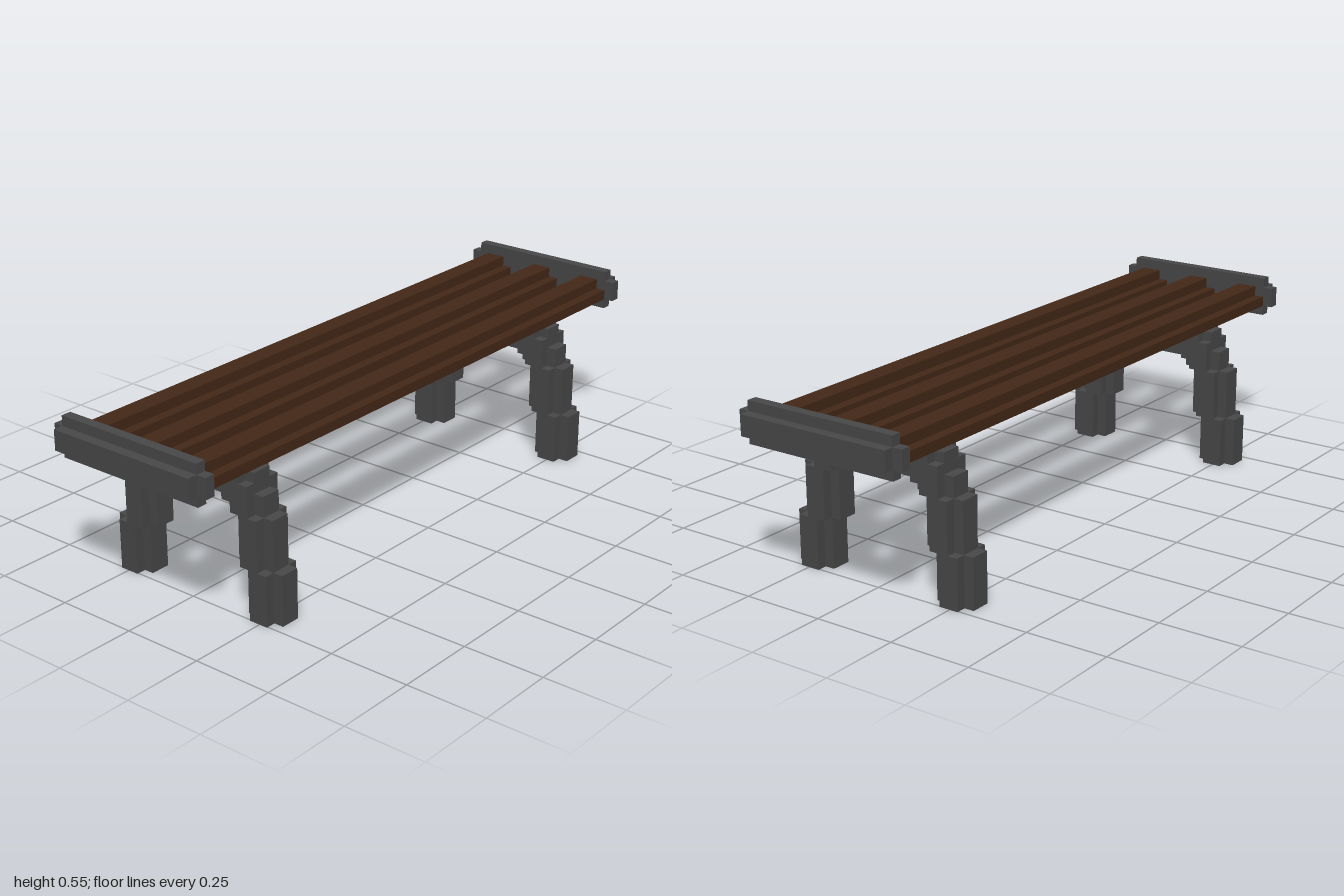
import * as THREE from 'three';

const U = 2 / 65; // one block of the stepped, blocky style
const iron = new THREE.MeshStandardMaterial({ color: 0x484848, flatShading: true });
const wood = new THREE.MeshStandardMaterial({ color: 0x432817, flatShading: true });
const paleWood = new THREE.MeshStandardMaterial({ color: 0x6b5440, flatShading: true });

// Box from min/max limits in block units
function block(parent, name, material, [x0, x1], [y0, y1], [z0, z1]) {
  const mesh = new THREE.Mesh(
    new THREE.BoxGeometry((x1 - x0) * U, (y1 - y0) * U, (z1 - z0) * U), material);
  mesh.position.set((x0 + x1) * U / 2, (y0 + y1) * U / 2, (z0 + z1) * U / 2);
  mesh.name = name;
  parent.add(mesh);
}

const WIDE = [-2, 2], NARROW = [-1, 1];

// One leg; side is +1 at the front, -1 at the back
function createLeg(side) {
  const leg = new THREE.Group();
  leg.name = side > 0 ? 'frontLeg' : 'backLeg';
  const add = (name, x, y, [a, b]) =>
    block(leg, name, iron, x, y, side > 0 ? [a, b] : [-b, -a]);
  add('foot', WIDE, [0, 5], [7, 9]);
  add('footRidge', NARROW, [0, 5], [6, 10]);
  add('shin', WIDE, [5, 10], [6, 8]);
  add('shinRidge', NARROW, [5, 10], [5, 9]);
  add('knee', WIDE, [10, 13], [5, 7]);
  add('kneeRidge', NARROW, [10, 12], [4, 8]);
  add('shoulder', WIDE, [11, 14], [4, 6]);
  add('shoulderRidge', NARROW, [12, 14], [6, 7]);
  return leg;
}

// Arched support: two legs joined by a cross beam
function createSupport(name, x) {
  const support = new THREE.Group();
  support.name = name;
  support.position.x = x * U;
  block(support, 'crossBeam', iron, WIDE, [12, 14], [-4, 4]);
  block(support, 'crossBeamRidge', iron, NARROW, [11, 15], [-6, 6]);
  support.add(createLeg(1), createLeg(-1));
  return support;
}

// End rail closing the planks
function createEndRail(name, side) {
  const rail = new THREE.Group();
  rail.name = name;
  const inner = side > 0 ? [30.5, 31.5] : [-31.5, -30.5];
  const outer = side > 0 ? [31.5, 32.5] : [-32.5, -31.5];
  block(rail, 'railPlate', iron, inner, [14, 18], [-8, 8]);
  block(rail, 'railTips', iron, inner, [15, 17], [-9, 9]);
  block(rail, 'railRidge', iron, outer, [15, 17], [-8, 8]);
  return rail;
}

// Seat plank with a raised middle and a pale underside
function createPlank(z) {
  const plank = new THREE.Group();
  plank.name = 'seatPlank';
  const length = [-30.5, 30.5];
  block(plank, 'plankBoard', wood, length, [15, 16], [z - 2, z + 2]);
  block(plank, 'plankCrown', wood, length, [16, 17], [z - 1, z + 1]);
  const under = new THREE.Mesh(new THREE.PlaneGeometry(61 * U, 4 * U), paleWood);
  under.rotation.x = Math.PI / 2;
  under.position.set(0, 15 * U - 0.001, z * U);
  under.name = 'plankUnderside';
  plank.add(under);
  return plank;
}

export function createModel() {
  const bench = new THREE.Group();
  bench.name = 'bench';
  for (const z of [-6, 0, 6]) bench.add(createPlank(z));
  for (const side of [1, -1]) {
    const hand = side > 0 ? 'left' : 'right';
    bench.add(createSupport(hand + 'Support', side * 22.5));
    bench.add(createEndRail(hand + 'EndRail', side));
  }
  return bench;
}
